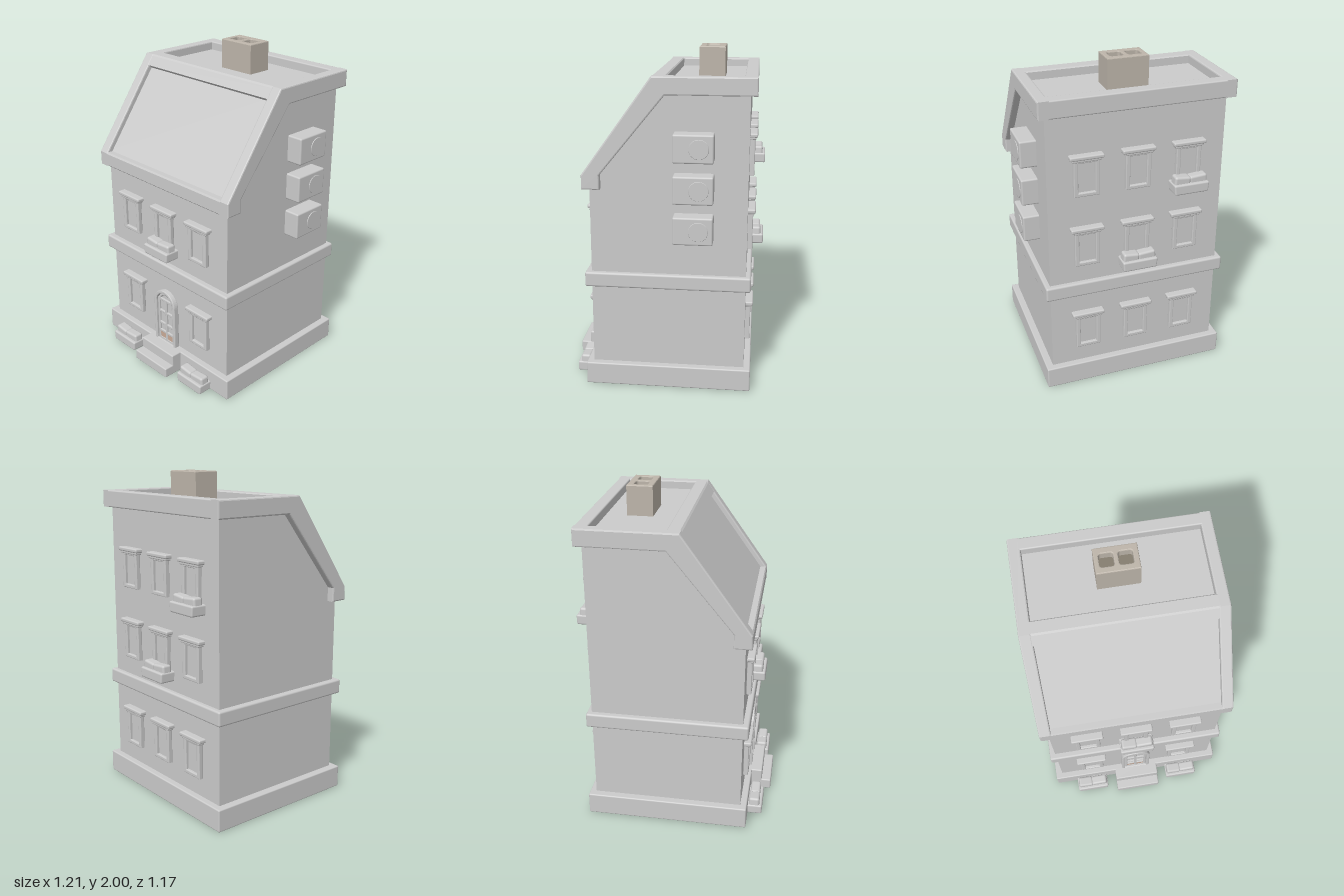
import * as THREE from 'three';
import { RoundedBoxGeometry } from 'three/addons/geometries/RoundedBoxGeometry.js';

const grey = new THREE.MeshStandardMaterial({ color: 0xcccccc });
const brick = new THREE.MeshStandardMaterial({ color: 0xbdb5aa });
const soot = new THREE.MeshStandardMaterial({ color: 0x857e70 });
const warm = new THREE.MeshStandardMaterial({ color: 0xc9ab98 });

function add(parent, name, geometry, material = grey) {
  const mesh = new THREE.Mesh(geometry, material);
  mesh.name = name;
  parent.add(mesh);
  return mesh;
}

// Soft-edged block given by its limits on each axis
function block(parent, name, [x0, x1], [y0, y1], [z0, z1], r = 0.008, material = grey) {
  const mesh = add(parent, name, new RoundedBoxGeometry(x1 - x0, y1 - y0, z1 - z0, 2, r), material);
  mesh.position.set((x0 + x1) / 2, (y0 + y1) / 2, (z0 + z1) / 2);
  return mesh;
}

function polygon(points) {
  return new THREE.Shape(points.map(([x, y]) => new THREE.Vector2(x, y)));
}

function rect(x0, x1, y0, y1) {
  return polygon([[x0, y0], [x1, y0], [x1, y1], [x0, y1]]);
}

// Extrusion whose bevel stays inside the outline
function extrude(shape, depth, bevel = 0) {
  const g = new THREE.ExtrudeGeometry(shape, {
    depth: depth - 2 * bevel, curveSegments: 12, bevelEnabled: bevel > 0,
    bevelThickness: bevel, bevelSize: bevel, bevelOffset: -bevel, bevelSegments: 2,
  });
  return g.translate(0, 0, bevel);
}

// A (z, y) profile swept across from x0 to x1
function sweepX(parent, name, points, x0, x1, bevel = 0) {
  const g = extrude(polygon(points), x1 - x0, bevel);
  return add(parent, name, g.rotateY(-Math.PI / 2).translate(x1, 0, 0));
}

// Window on a wall at z = 0, facing +z
function createWindow(x, y) {
  const g = new THREE.Group();
  g.name = 'window';
  const shape = rect(-0.076, 0.076, 0.255, 0.48);
  shape.holes.push(rect(-0.05, 0.05, 0.278, 0.458));
  add(g, 'windowFrame', extrude(shape, 0.03, 0.005));
  block(g, 'windowPane', [-0.06, 0.06], [0.265, 0.47], [-0.01, 0.012], 0.002);
  block(g, 'lintelMoulding', [-0.086, 0.086], [0.468, 0.49], [-0.01, 0.037], 0.006);
  block(g, 'lintel', [-0.099, 0.099], [0.482, 0.506], [-0.01, 0.045], 0.008);
  g.position.set(x, y, 0);
  return g;
}

// Planter box with two clipped shrubs, back against z = 0
function createPlanter(x, y, z = 0) {
  const g = new THREE.Group();
  g.name = 'planter';
  const box = block(g, 'planterBox', [-0.108, 0.108], [0, 0.063], [-0.01, 0.095], 0.01);
  const p = box.geometry.attributes.position;
  for (let i = 0; i < p.count; i++) if (p.getY(i) < 0) p.setX(i, p.getX(i) * 0.96);
  const left = block(g, 'shrub', [-0.1, -0.002], [0.04, 0.103], [0.012, 0.078], 0.014);
  const right = block(g, 'shrub', [-0.006, 0.102], [0.04, 0.102], [0.015, 0.076], 0.014);
  left.rotation.z = -0.1;
  right.rotation.z = 0.08;
  g.position.set(x, y, z);
  return g;
}

// Outline of an arched opening standing on y = y0
function arch(half, y0, spring) {
  const s = new THREE.Shape();
  s.moveTo(-half, y0);
  s.lineTo(half, y0);
  s.lineTo(half, spring);
  s.absarc(0, spring, half, 0, Math.PI, false);
  s.lineTo(-half, y0);
  return s;
}

function createDoor() {
  const g = new THREE.Group();
  g.name = 'door';
  const frame = arch(0.097, 0.13, 0.42);
  frame.holes.push(arch(0.076, 0.14, 0.42));
  add(g, 'doorFrame', extrude(frame, 0.036, 0.005));
  add(g, 'doorLeaf', extrude(arch(0.082, 0.13, 0.42), 0.013));
  // Stiles, rails and the fanlight rim
  for (const x of [-0.066, 0, 0.066])
    block(g, 'doorStile', [x - 0.009, x + 0.009], [0.14, 0.44], [0, 0.024], 0.004);
  for (const y of [0.145, 0.2, 0.26, 0.35, 0.44])
    block(g, 'doorRail', [-0.074, 0.074], [y - 0.009, y + 0.009], [0, 0.024], 0.004);
  const rim = add(g, 'fanlightRim', new THREE.TorusGeometry(0.058, 0.009, 8, 20, Math.PI));
  rim.position.set(0, 0.428, 0.015);
  block(g, 'kickPanel', [-0.07, 0.07], [0.137, 0.195], [0, 0.021], 0.003, warm);
  g.position.x = -0.03;
  return g;
}

function createRoof() {
  const g = new THREE.Group();
  g.name = 'roof';
  // Gable rims follow the slope and the flat top
  const rim = [[-0.53, 1.77], [-0.02, 1.77], [0.355, 1.31], [0.355, 1.225],
    [0.46, 1.225], [0.46, 1.31], [0.055, 1.873], [-0.53, 1.873]];
  sweepX(g, 'gableRim', rim, -0.605, -0.535, 0.008);
  sweepX(g, 'gableRim', rim, 0.475, 0.543, 0.008);
  // Rims across the width
  sweepX(g, 'eaveRim', [[0.355, 1.225], [0.452, 1.225], [0.46, 1.233], [0.46, 1.306],
    [0.453, 1.316], [0.4, 1.316], [0.355, 1.3]], -0.545, 0.485);
  sweepX(g, 'ridgeRim', [[-0.025, 1.78], [0.06, 1.78], [0.098, 1.811], [0.06, 1.864],
    [0.05, 1.873], [-0.018, 1.873], [-0.025, 1.866]], -0.545, 0.485);
  block(g, 'backRim', [-0.56, 0.5], [1.77, 1.873], [-0.53, -0.455]);
  // Chimney with two flues
  const stack = rect(-0.152, 0.092, 0.175, 0.33);
  for (const x of [-0.085, 0.021]) {
    const hole = new THREE.Path();
    const a = 0.04, r = 0.015, c = a - r;
    [[c, c], [-c, c], [-c, -c], [c, -c]].forEach(([dx, dy], i) =>
      hole.absarc(x + dx, 0.252 + dy, r, i * Math.PI / 2, (i + 1) * Math.PI / 2, false));
    stack.holes.push(hole);
  }
  add(g, 'chimney', extrude(stack, 0.2, 0.006).rotateX(-Math.PI / 2).translate(0, 1.8, 0), brick);
  block(g, 'flueFloor', [-0.14, 0.08], [1.81, 1.95], [-0.31, -0.195], 0.004, soot);
  return g;
}

export function createModel() {
  const model = new THREE.Group();
  model.name = 'townHouse';

  // Walls, plinth and string course
  sweepX(model, 'walls', [[-0.49, 0.1], [0.42, 0.1], [0.42, 1.314], [0.054, 1.82], [-0.49, 1.82]], -0.56, 0.5);
  block(model, 'plinth', [-0.605, 0.543], [0, 0.137], [-0.53, 0.46]);
  block(model, 'stringCourse', [-0.595, 0.53], [0.628, 0.718], [-0.52, 0.457], 0.012);
  model.add(createRoof());

  // Front steps
  block(model, 'lowerStep', [-0.18, 0.12], [0, 0.066], [0.4, 0.586]);
  block(model, 'upperStep', [-0.18, 0.12], [0.03, 0.137], [0.4, 0.527]);

  const columns = [-0.335, -0.03, 0.275];
  const floors = [0, 0.582, 1.031];

  // Front wall
  const front = new THREE.Group();
  front.name = 'frontWall';
  front.position.z = 0.42;
  front.add(createDoor(), createWindow(columns[0], 0), createWindow(columns[2], 0));
  for (const x of columns) front.add(createWindow(x, floors[1]));
  front.add(createPlanter(-0.03, 0.78), createPlanter(-0.352, 0, 0.033), createPlanter(0.29, 0, 0.033));
  model.add(front);

  // Back wall, turned to face -z
  const back = new THREE.Group();
  back.name = 'backWall';
  back.position.z = -0.49;
  back.rotation.y = Math.PI;
  for (const y of floors) for (const x of columns) back.add(createWindow(-x, y));
  back.add(createPlanter(0.03, 0.78), createPlanter(0.335, 1.232));
  model.add(back);

  // Cooling units on the side wall
  for (const y of [0.93, 1.167, 1.403]) {
    block(model, 'coolingUnit', [0.48, 0.597], [y, y + 0.162], [-0.298, -0.068], 0.01);
    const fan = add(model, 'fanCover', new THREE.CylinderGeometry(0.055, 0.06, 0.008, 24));
    fan.rotation.z = -Math.PI / 2;
    fan.position.set(0.596, y + 0.081, -0.215);
  }
  return model;
}
